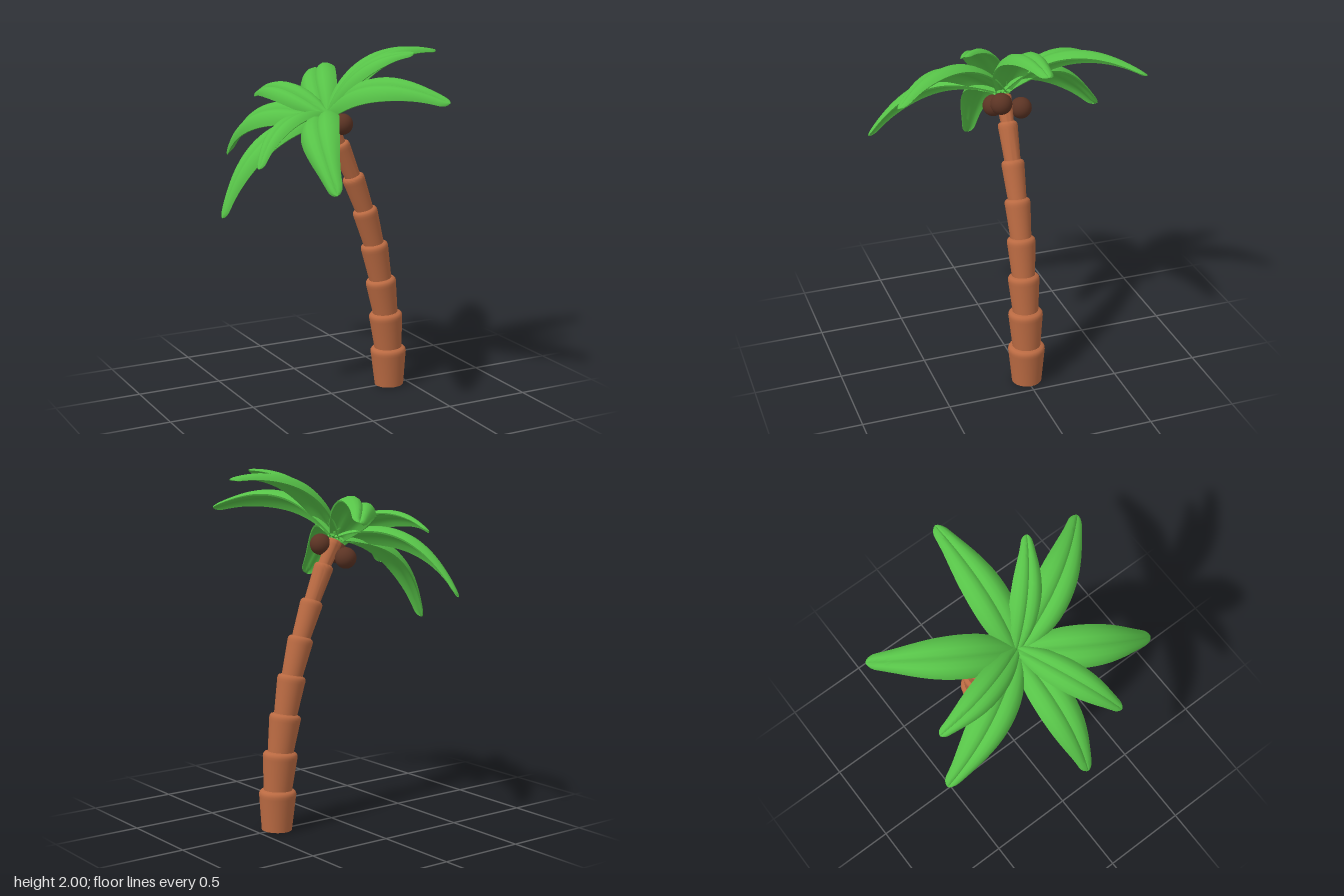
import * as THREE from 'three';
import { toCreasedNormals } from 'three/addons/utils/BufferGeometryUtils.js';

const V = (x, y, z = 0) => new THREE.Vector3(x, y, z);
const CROWN_UP = V(-0.5, 0.866, 0); // the crown leans with the trunk

// One trunk segment: a flared cup with a rounded lip, running from a to b
function trunkSegment(a, b, r, material) {
  const axis = b.clone().sub(a);
  const h = axis.length();
  const profile = [[0, 0], [r * 0.81, 0], [r * 0.98, h * 0.85], [r, h * 0.92], [r * 0.98, h * 0.98], [r * 0.92, h * 1.02], [r * 0.75, h * 1.05], [0, h * 1.06]];
  const geometry = new THREE.LatheGeometry(profile.map(([x, y]) => new THREE.Vector2(x, y)), 32);
  const mesh = new THREE.Mesh(toCreasedNormals(geometry, 0.75), material);
  mesh.position.copy(a);
  mesh.quaternion.setFromUnitVectors(V(0, 1), axis.normalize());
  return mesh;
}

// Leaf cross-section as [side, height] in half-widths: two humps around a grooved midrib
const upper = [[-1, -0.36], [-0.9, -0.2], [-0.7, 0.01], [-0.45, 0.13], [-0.2, 0.1], [-0.07, 0.02], [0, -0.04],
  [0.07, 0.02], [0.2, 0.1], [0.45, 0.13], [0.7, 0.01], [0.9, -0.2], [1, -0.36]];
const lower = [[0.93, -0.42], [0.7, -0.23], [0.45, -0.12], [0.2, -0.15], [0, -0.24],
  [-0.2, -0.15], [-0.45, -0.12], [-0.7, -0.23], [-0.93, -0.42]];
const section = [...upper, ...lower];

// Half-width at even steps along the leaf, from the root to the rounded tip
const widthCurve = new THREE.SplineCurve([0.38, 0.74, 0.94, 1, 0.98, 0.89, 0.72, 0.5, 0.32]
  .map((w, i) => new THREE.Vector2(i, w)));

function leafGeometry(root, tip, arch, halfWidth) {
  const control = root.clone().lerp(tip, 0.5).addScaledVector(CROWN_UP, arch);
  const path = new THREE.QuadraticBezierCurve3(root, control, tip);
  const rows = 36, n = section.length;
  const positions = [], index = [];
  for (let i = 0; i <= rows; i++) {
    const t = 1 - (1 - i / rows) ** 1.5; // rows crowd toward the tip
    const p = path.getPoint(t);
    const tangent = path.getTangent(t);
    const side = tangent.clone().cross(CROWN_UP).normalize();
    const up = side.clone().cross(tangent);
    const round = Math.sqrt(Math.max(0, 1 - Math.max(0, (t - 0.95) / 0.05) ** 2));
    const w = halfWidth * widthCurve.getPoint(t).y * round;
    for (const [s, h] of section) {
      const q = p.clone().addScaledVector(side, s * w).addScaledVector(up, h * w);
      positions.push(q.x, q.y, q.z);
    }
  }
  for (let i = 0; i < rows; i++) {
    for (let j = 0; j < n; j++) {
      const a = i * n + j, b = i * n + (j + 1) % n;
      index.push(a, b, a + n, b, b + n, a + n);
    }
  }
  // Close the root
  for (let j = 1; j < n - 1; j++) index.push(0, j + 1, j);
  const geometry = new THREE.BufferGeometry();
  geometry.setAttribute('position', new THREE.Float32BufferAttribute(positions, 3));
  geometry.setIndex(index);
  return toCreasedNormals(geometry, 0.9);
}

export function createModel() {
  const palm = new THREE.Group();
  palm.name = 'palmTree';
  const bark = new THREE.MeshStandardMaterial({ color: 0xba6a42 });
  const green = new THREE.MeshStandardMaterial({ color: 0x57c348, side: THREE.DoubleSide });
  const shell = new THREE.MeshStandardMaterial({ color: 0x5c3424 });

  // Trunk: stacked segments along a leaning curve, [x, y, lip radius]
  const trunk = new THREE.Group();
  trunk.name = 'trunk';
  const joints = [[0.385, 0, 0], [0.377, 0.22, 0.105], [0.357, 0.435, 0.098], [0.322, 0.645, 0.089], [0.277, 0.86, 0.08],
    [0.214, 1.07, 0.072], [0.137, 1.27, 0.064], [0.052, 1.465, 0.055], [-0.02, 1.6, 0.045]];
  for (let i = 1; i < joints.length; i++) {
    const [ax, ay] = joints[i - 1], [bx, by, r] = joints[i];
    const segment = trunkSegment(V(ax, ay), V(bx, by), r, bark);
    segment.name = 'trunkSegment' + i;
    trunk.add(segment);
  }
  palm.add(trunk);

  // Leaves: tip position, arch height, half-width
  const leaves = new THREE.Group();
  leaves.name = 'leaves';
  const largeRoot = V(-0.035, 1.62), smallRoot = V(-0.03, 1.64);
  const tips = [
    [0.67, 1.965, 0, 0.31, 0.11], [-0.67, 1.115, 0, 0.33, 0.11],
    [0.345, 1.765, 0.69, 0.33, 0.115], [0.345, 1.765, -0.695, 0.33, 0.115],
    [-0.325, 1.335, 0.695, 0.34, 0.115], [-0.335, 1.335, -0.695, 0.34, 0.115],
    [0.33, 1.995, 0.335, 0.2, 0.085], [-0.575, 1.425, 0.285, 0.24, 0.085], [-0.185, 1.69, -0.615, 0.22, 0.085],
  ];
  tips.forEach(([x, y, z, arch, halfWidth], i) => {
    const large = i < 6;
    const leaf = new THREE.Mesh(leafGeometry(large ? largeRoot : smallRoot, V(x, y, z), arch, halfWidth), green);
    leaf.name = (large ? 'largeLeaf' : 'smallLeaf') + (i + 1);
    leaves.add(leaf);
  });
  palm.add(leaves);

  // Coconuts clustered under the crown
  [[0.05, 1.585, 0.035], [-0.07, 1.53, 0.04], [-0.02, 1.515, -0.105]].forEach((p, i) => {
    const coconut = new THREE.Mesh(new THREE.SphereGeometry(0.06, 28, 20), shell);
    coconut.name = 'coconut' + (i + 1);
    coconut.position.set(...p);
    palm.add(coconut);
  });
  return palm;
}
